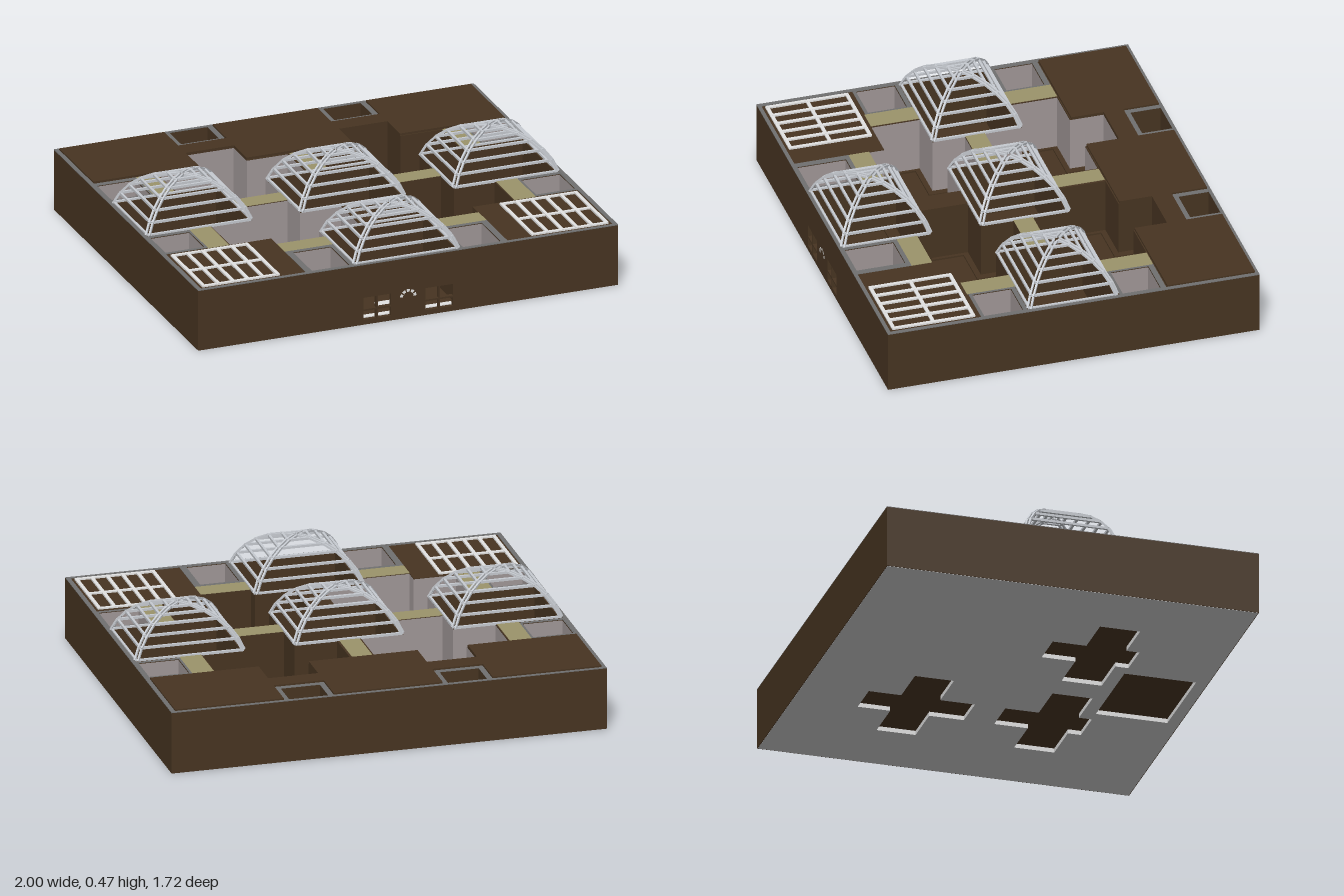
import * as THREE from 'three';

const mat = (name, color, extra = {}) => Object.assign(new THREE.MeshStandardMaterial({ color, ...extra }), { name });

export function createModel() {
  const brown = mat('brown wall', 0x473421);
  const grey = mat('coping grey', 0x707070);
  const pale = mat('slab pale grey', 0xc8c8c8);
  const white = mat('white', 0xe2e2e2);
  const plaster = mat('pale plaster', 0xa09797, { side: THREE.DoubleSide });
  const olive = mat('olive', 0x9b936a);
  const steel = mat('steel', 0xc6cad0);
  const root = new THREE.Group();
  const H = 0.287, B = 0.02, Z0 = -0.86, Z1 = 0.857; // wall top, slab thickness, back and front

  const add = (name, geo, material, parent = root) => {
    const m = new THREE.Mesh(geo, material);
    m.name = name;
    parent.add(m);
    return m;
  };
  const rect = (x0, x1, z0, z1) => [[x0, z0], [x1, z0], [x1, z1], [x0, z1]];
  const mirror = (pts) => pts.map(([x, z]) => [-x, z]);
  // plan outline as an anticlockwise path, or clockwise for holes
  const path = (pts, clockwise) => {
    const p = pts.map(([x, z]) => new THREE.Vector2(x, -z));
    return THREE.ShapeUtils.isClockWise(p) === clockwise ? p : p.reverse();
  };
  // horizontal plan shape raised from y0 to y1
  const plan = (name, outline, holes, y0, y1, material) => {
    const s = new THREE.Shape(path(outline, false));
    holes.forEach((h) => s.holes.push(new THREE.Path(path(h, true))));
    const g = new THREE.ExtrudeGeometry(s, { depth: y1 - y0, bevelEnabled: false });
    g.rotateX(-Math.PI / 2).translate(0, y0, 0);
    return add(name, g, material);
  };
  const plate = (name, x0, x1, z0, z1, y0, y1, material) => {
    const g = new THREE.BoxGeometry(x1 - x0, y1 - y0, z1 - z0);
    return add(name, g.translate((x0 + x1) / 2, (y0 + y1) / 2, (z0 + z1) / 2), material);
  };
  // thin upright panels around a closed outline
  const lining = (name, pts, material) => {
    const cx = pts.reduce((a, p) => a + p[0], 0) / pts.length;
    const cz = pts.reduce((a, p) => a + p[1], 0) / pts.length;
    const q = pts.map(([x, z]) => [x - Math.sign(x - cx) * 0.002, z - Math.sign(z - cz) * 0.002]);
    q.forEach(([x, z], i) => {
      const [u, w] = q[(i + 1) % q.length];
      const g = new THREE.PlaneGeometry(Math.hypot(u - x, w - z), H - B - 0.004);
      g.rotateY(-Math.atan2(w - z, u - x)).translate((x + u) / 2, (H + B) / 2, (z + w) / 2);
      add(name, g, material);
    });
  };
  const cross = (a0, a1, z0, z1, b0, b1, w0, w1) => [
    [a0, z0], [a1, z0], [a1, w0], [b1, w0], [b1, w1], [a1, w1],
    [a1, z1], [a0, z1], [a0, w1], [b0, w1], [b0, w0], [a0, w0]];

  // cross-shaped courts, and the sunken floors inside them
  const backCourt = cross(0.25, 0.48, -0.59, -0.04, 0.055, 0.675, -0.435, -0.21);
  const frontCourt = cross(0.25, 0.48, 0.05, 0.495, 0.055, 0.675, 0.2, 0.425);
  const backPit = cross(0.28, 0.45, -0.56, -0.07, 0.07, 0.66, -0.41, -0.23);
  const frontPit = cross(0.28, 0.45, 0.07, 0.47, 0.07, 0.66, 0.225, 0.41);
  const courts = [backCourt, frontCourt, mirror(backCourt), mirror(frontCourt)];

  // small light wells
  const wellsRight = [[0.275, 0.455, -0.845, -0.705], [0.79, 0.975, -0.41, -0.235],
    [0.79, 0.975, 0.225, 0.405], [0.27, 0.45, 0.61, 0.835]].map((w) => rect(...w));
  const wells = [...wellsRight, ...wellsRight.map(mirror)];

  // open rooms below the domes
  const sideRoom = rect(0.495, 0.965, -0.195, 0.185);
  const rooms = [rect(-0.235, 0.235, -0.195, 0.185), sideRoom, mirror(sideRoom)];

  // ground slab with recessed openings, and brown skirts around it
  plan('groundSlab', rect(-0.997, 0.997, Z0 + 0.003, Z1 - 0.003),
    [backPit, frontPit, mirror(frontPit), rect(-0.22, 0.22, 0.47, 0.8)], 0, B, [pale, white]);
  plate('floor', -0.99, 0.99, -0.85, 0.84, B, B + 0.004, brown);
  plan('courtPaving', rect(-0.69, 0.69, -0.6, 0.5),
    [backPit, frontPit, mirror(backPit), mirror(frontPit), rooms[0]], B + 0.004, B + 0.012, brown);
  for (const s of [-1, 1]) {
    plate('sideSkirt', s * 0.998 - 0.002, s * 0.998 + 0.002, Z0, Z1, 0.001, B, brown);
    const z = s < 0 ? Z0 : Z1 - 0.004;
    plate('endSkirt', -1, 1, z, z + 0.004, 0.001, B, brown);
  }

  // building mass with a recess for the entrance hall
  plan('building', [[-1, Z0], [1, Z0], [1, Z1], [0.235, Z1], [0.235, 0.445],
    [-0.235, 0.445], [-0.235, Z1], [-1, Z1]], [...courts, ...wells, ...rooms], B, H, brown);

  // pale walls on the courts of one side, and in the side and front wells
  lining('courtLining', mirror(backCourt), plaster);
  lining('courtLining', mirror(frontCourt), plaster);
  wells.forEach((w, i) => {
    if (i % 4) lining('wellLining', w, plaster);
    const xs = w.map((p) => p[0]), zs = w.map((p) => p[1]);
    plate('wellFloor', Math.min(...xs), Math.max(...xs), Math.min(...zs), Math.max(...zs), 0.024, 0.03, white);
  });

  // corner inlay on the central floor
  plan('floorInlay', [[0.235, 0.085], [0.235, 0.185], [0.08, 0.185]], [], 0.024, 0.027, olive);
  plan('floorInlayEdge', [[0.235, 0.07], [0.235, 0.1], [0.11, 0.185], [0.07, 0.185]], [], 0.024, 0.029, white);

  // grey copings on the outer wall and round the wells
  plan('outerCoping', rect(-1, 1, Z0, Z1), [rect(-0.98, 0.98, -0.845, 0.84)], H, H + 0.003, grey);
  const rims = [[0.25, 0.48, -0.855, -0.68], [0.78, 0.995, -0.435, -0.22],
    [0.78, 0.995, 0.205, 0.42], [0.25, 0.48, 0.59, 0.85]].map((r) => rect(...r));
  rims.forEach((r, i) => {
    plan('wellCoping', r, [wellsRight[i]], H, H + 0.002, grey);
    plan('wellCoping', mirror(r), [mirror(wellsRight[i])], H, H + 0.002, grey);
  });

  // raised rear roof, notched for wells and courts
  const half = [[0.25, -0.845], [0.25, -0.68], [0.48, -0.68], [0.48, -0.845], [0.98, -0.845],
    [0.98, -0.44], [0.48, -0.44], [0.48, -0.59], [0.25, -0.59], [0.25, -0.44]];
  plan('rearRoof', [...half, ...mirror(half).reverse()], [], H, 0.297, brown);

  // olive corridor roofs
  plate('corridorRoof', -0.048, 0.045, -0.435, -0.21, H, H + 0.002, olive);
  for (const s of [-1, 1]) {
    const strip = (x, w, z0, z1) => plate('corridorRoof', s * x - w / 2, s * x + w / 2, z0, z1, H, H + 0.002, olive);
    strip(0.365, 0.23, -0.04, 0.05);
    strip(0.365, 0.23, 0.495, 0.59);
    strip(0.73, 0.1, -0.435, -0.21);
    strip(0.73, 0.1, 0.2, 0.425);
  }

  // front wall with paned windows and a fanlight
  const corners = (x0, x1, y0, y1) => rect(x0, x1, y0, y1).map((p) => new THREE.Vector2(...p));
  const wall = new THREE.Shape(corners(-0.235, 0.235, B, H));
  for (const s of [-1, 1]) {
    for (const c of [0.113, 0.183]) {
      for (const [y0, y1] of [[0.024, 0.066], [0.074, 0.13]]) {
        wall.holes.push(new THREE.Path(corners(s * c - 0.031, s * c + 0.031, y0, y1).reverse()));
      }
    }
  }
  add('entranceWall', new THREE.ExtrudeGeometry(wall, { depth: 0.02, bevelEnabled: false })
    .translate(0, 0, Z1 - 0.02), brown);
  for (let i = 0; i < 5; i++) {
    const g = new THREE.RingGeometry(0.026, 0.04, 3, 1, (i + 0.15) * Math.PI / 5, 0.7 * Math.PI / 5);
    add('fanlight', g.translate(0, 0.1, Z1 + 0.001), white);
  }
  plate('entranceMat', -0.1, 0.1, 0.7, 0.745, 0.024, 0.03, white);
  plate('entranceSill', -0.22, 0.22, 0.81, Z1 - 0.02, 0.024, 0.028, white);

  // straight bar between two points
  const bar = (name, a, b, t, material, parent) => {
    const m = add(name, new THREE.BoxGeometry(t, t, a.distanceTo(b)), material, parent);
    m.position.copy(a).lerp(b, 0.5);
    m.lookAt(b);
  };

  // domes: rectangular rings on an arc, joined by paired corner ribs
  const dome = (cx, cz) => {
    const g = new THREE.Group();
    g.name = 'dome';
    const R = 0.2636, top = 1.248, n = 6;
    const ring = (k) => {
      const a = Math.max(top * k / n, 0.03), f = Math.sin(a) / Math.sin(top);
      const y = 0.29 + R * (Math.cos(a) - Math.cos(top));
      return [[-1, -1], [1, -1], [1, 1], [-1, 1]].map(([i, j]) => new THREE.Vector3(i * f * 0.246, y, j * f * 0.202));
    };
    for (let k = 0; k <= n; k++) {
      const p = ring(k), q = k < n ? ring(k + 1) : null;
      p.forEach((c, i) => {
        if (k) bar('domeRing', c, p[(i + 1) % 4], 0.011, steel, g);
        if (!q) return;
        for (const o of [-0.006, 0.006]) {
          const off = new THREE.Vector3(o, 0, -o * Math.sign(q[i].x * q[i].z));
          bar('domeRib', c.clone().add(off), q[i].clone().add(off), 0.009, steel, g);
        }
      });
    }
    g.position.set(cx, 0, cz);
    root.add(g);
  };
  [[-0.73, -0.005], [0, -0.005], [0.73, -0.005], [0, 0.635]].forEach((c) => dome(...c));

  // skylight frames on the front corner rooms
  for (const s of [-1, 1]) {
    for (let i = 0; i < 6; i++) {
      const x = s * (0.607 + i * 0.0705);
      plate('skylightBar', x - 0.008, x + 0.008, 0.445, 0.825, H, H + 0.008, white);
    }
    for (const z of [0.451, 0.635, 0.819]) {
      plate('skylightRail', s * 0.783 - 0.182, s * 0.783 + 0.182, z - 0.008, z + 0.008, H, H + 0.007, white);
    }
  }
  return root;
}
